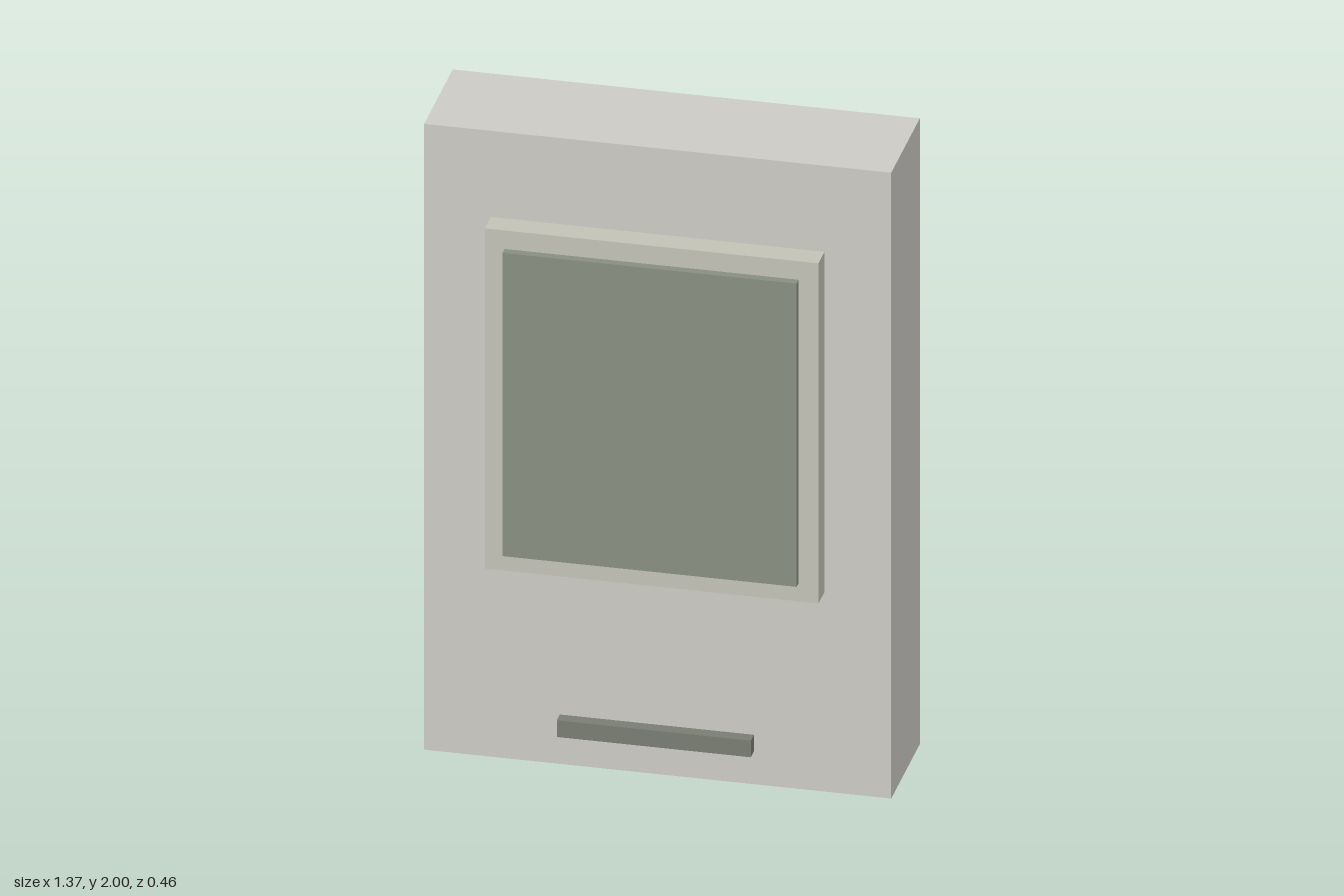
import * as THREE from 'three';

// Adds a named box given by its extents on each axis.
function addBox(group, name, color, [x0, x1], [y0, y1], [z0, z1]) {
  const mesh = new THREE.Mesh(
    new THREE.BoxGeometry(x1 - x0, y1 - y0, z1 - z0),
    new THREE.MeshStandardMaterial({ color })
  );
  mesh.position.set((x0 + x1) / 2, (y0 + y1) / 2, (z0 + z1) / 2);
  mesh.name = name;
  group.add(mesh);
}

export function createModel() {
  const model = new THREE.Group();
  model.name = 'wallPanel';

  // Main slab
  addBox(model, 'body', 0xcfcdc6, [-0.686, 0.686], [0, 2], [-0.23, 0.128]);
  // Raised frame with the screen on its face
  addBox(model, 'bezel', 0xc5c4b8, [-0.49, 0.49], [0.638, 1.725], [0.128, 0.204]);
  addBox(model, 'screen', 0x8a9083, [-0.432, 0.432], [0.697, 1.666], [0.2, 0.23]);
  // Narrow bar standing just off the lower front
  addBox(model, 'lowerBar', 0x7a7e74, [-0.285, 0.285], [0.11, 0.163], [0.138, 0.177]);

  return model;
}
